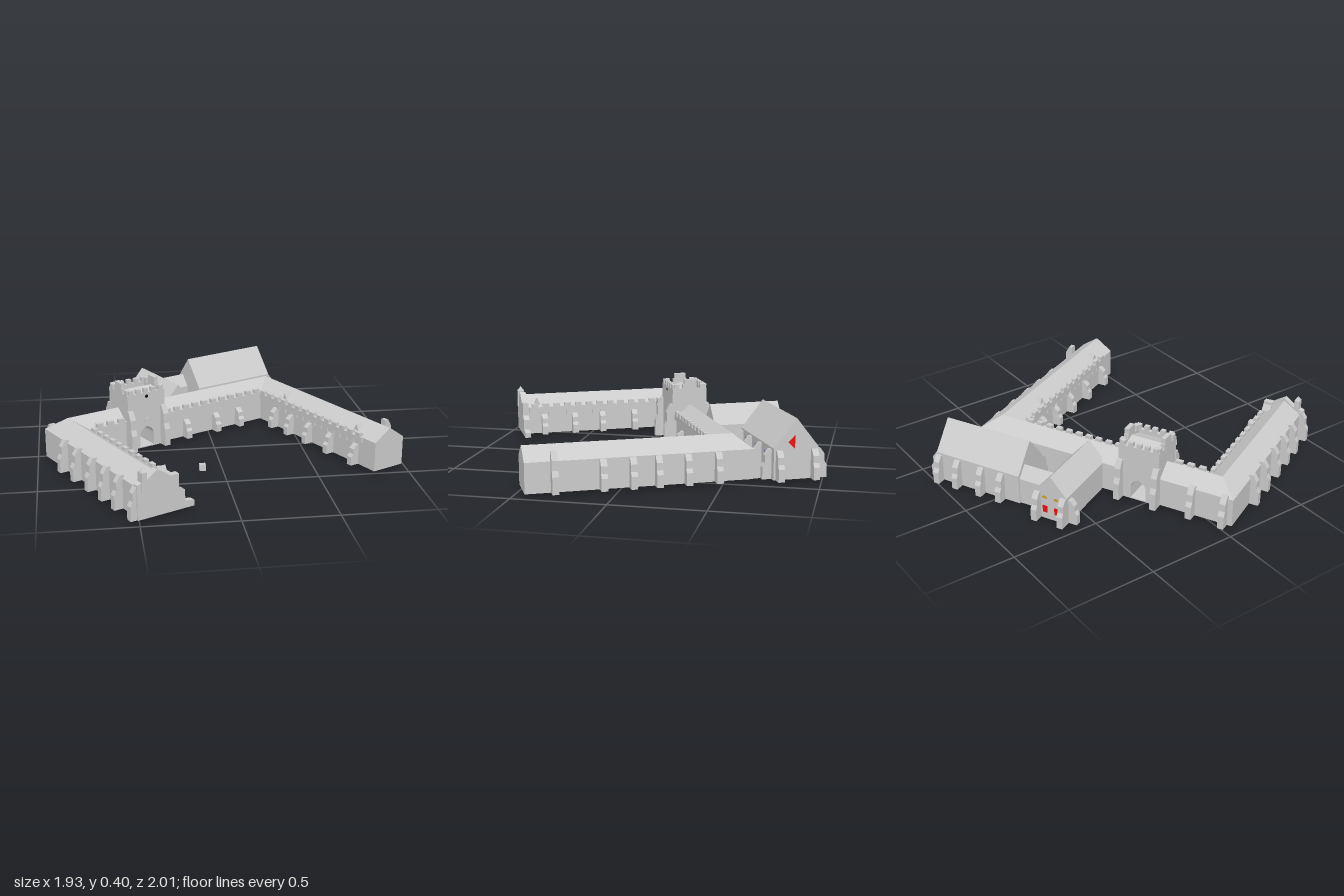
import * as THREE from 'three';

const BASE = 0.02;

export function createModel() {
  const model = new THREE.Group();
  const site = new THREE.Group(); // everything is laid out square, then turned
  site.name = 'courtyardBuildings';
  site.rotation.y = THREE.MathUtils.degToRad(26.5);
  model.add(site);

  const mat = (color) => new THREE.MeshStandardMaterial({ color, flatShading: true, side: THREE.DoubleSide });
  const stone = mat(0xcccccc), red = mat(0xee1111), gold = mat(0xc8a020), violet = mat(0x8080c8), black = mat(0x111111);

  const add = (name, geo, x = 0, y = 0, z = 0, m = stone, ry = 0) => {
    const mesh = new THREE.Mesh(geo, m);
    mesh.name = name;
    mesh.position.set(x, y, z);
    mesh.rotation.y = ry;
    site.add(mesh);
    return mesh;
  };
  // box given by its limits
  const block = (name, x0, x1, y0, y1, z0, z1, m) =>
    add(name, new THREE.BoxGeometry(x1 - x0, y1 - y0, z1 - z0), (x0 + x1) / 2, (y0 + y1) / 2, (z0 + z1) / 2, m);
  const polygon = (pts) => new THREE.Shape(pts.map((p) => new THREE.Vector2(...p)));
  const slab = (shape, depth) => new THREE.ExtrudeGeometry(shape, { depth, bevelEnabled: false, curveSegments: 8 });

  // gabled building, ridge along x or z
  const house = (name, x0, x1, z0, z1, eave, ridge, axis) => {
    const w = (axis === 'x' ? z1 - z0 : x1 - x0) / 2, len = axis === 'x' ? x1 - x0 : z1 - z0;
    const geo = slab(polygon([[-w, BASE], [w, BASE], [w, eave], [0, ridge], [-w, eave]]), len);
    geo.translate(0, 0, -len / 2);
    add(name, geo, (x0 + x1) / 2, 0, (z0 + z1) / 2, stone, axis === 'x' ? Math.PI / 2 : 0);
  };

  // stepped buttress, dir is the side it projects towards
  const turn = { '+x': 0, '-x': Math.PI, '+z': -Math.PI / 2, '-z': Math.PI / 2 };
  const buttress = (x, z, dir, top = 0.18) => {
    const h = top - BASE, w = 0.034;
    const geo = slab(polygon([[-0.01, 0], [0.05, 0], [0.05, h * 0.42], [0.036, h * 0.56],
      [0.036, h * 0.8], [0.012, h], [-0.01, h]]), w);
    geo.translate(0, 0, -w / 2);
    add('buttress', geo, x, BASE, z, stone, turn[dir]);
  };

  // range swept through mitred sections; each section maps an inset t to [x, z]
  const WIDTH = 0.2, EAVE = 0.182, RIDGE = 0.25;
  const profile = [[0, BASE], [0, EAVE], [WIDTH / 2, RIDGE], [WIDTH, EAVE], [WIDTH, BASE]];
  const sweep = (name, sections) => {
    const pos = [], idx = [], n = profile.length;
    sections.forEach((s) => profile.forEach(([t, y]) => {
      const [x, z] = s(t);
      pos.push(x, y, z);
    }));
    for (let s = 0; s < sections.length - 1; s++)
      for (let i = 0; i < n; i++) {
        const a = s * n + i, b = s * n + (i + 1) % n;
        idx.push(a, a + n, b, b, a + n, b + n);
      }
    const e = (sections.length - 1) * n;
    for (let i = 1; i < n - 1; i++) idx.push(0, i, i + 1, e, e + i + 1, e + i);
    const geo = new THREE.BufferGeometry();
    geo.setAttribute('position', new THREE.Float32BufferAttribute(pos, 3));
    geo.setIndex(idx);
    const flat = geo.toNonIndexed();
    flat.computeVertexNormals();
    add(name, flat);
  };
  const BACK = -0.385, K = 0.86, W = -0.875, E = 0.685, TX0 = -0.455, TX1 = -0.215;
  const FRONT = BACK + WIDTH * K;
  sweep('westRange', [(t) => [TX0 + 0.01, BACK + t * K], (t) => [W + t, BACK + t * K], (t) => [W + t, 0.62]]);
  sweep('eastRange', [(t) => [E - t, 0.82], (t) => [E - t, BACK + t * K], (t) => [TX1 - 0.01, BACK + t * K]]);

  // crenellated parapets along the courtyard faces
  const parapet = (axis, from, to, at, n, low = 0.192, high = 0.215) => {
    const d = 0.012, step = (to - from) / n;
    const put = (a, b, y0, y1) => axis === 'x'
      ? block('parapet', a, b, y0, y1, at - d, at + d)
      : block('parapet', at - d, at + d, y0, y1, a, b);
    put(from, to, low - 0.03, low);
    for (let i = 0; i < n; i++) put(from + (i + 0.22) * step, from + (i + 0.78) * step, low, high);
  };
  parapet('x', TX1, 0.48, FRONT, 11);
  parapet('x', -0.66, TX0, FRONT, 3);
  parapet('z', FRONT, 0.6, W + WIDTH, 12, 0.185, 0.205);
  parapet('z', FRONT, 0.72, E - WIDTH, 14, 0.185, 0.205);

  // small window frames on the inner wing walls
  for (let i = 0; i < 13; i++) {
    const z = -0.04 + i * 0.055;
    block('windowFrame', 0.476, 0.49, 0.13, 0.158, z, z + 0.028);
    if (z < 0.6) block('windowFrame', -0.68, -0.666, 0.13, 0.158, z, z + 0.028);
  }

  // buttresses of the three ranges
  [0.67, 0.42, 0.265, 0.13, -0.026, -0.19].forEach((z, i) => buttress(E, z, '+x', i ? 0.18 : 0.235));
  [-0.05, 0.1, 0.27, 0.46, 0.67].forEach((z) => buttress(E - WIDTH, z, '-x', 0.135));
  [-0.06, 0.145, 0.32, 0.51].forEach((z) => buttress(W + WIDTH, z, '+x', 0.14));
  [-0.13, 0.02, 0.18, 0.325, 0.46, 0.62].forEach((z) => buttress(W, z, '-x', 0.2));
  [-0.83, -0.645].forEach((x) => buttress(x, BACK, '-z', 0.2));
  [-0.06, 0.145, 0.31].forEach((x) => buttress(x, FRONT, '+z', 0.125));
  buttress(0.66, BACK, '-z', 0.18);

  // small roof dormers
  const dormer = (x, z, ry) => {
    const geo = slab(polygon([[-0.018, 0], [0.018, 0], [0, 0.035]]), 0.05);
    add('dormer', geo, x, 0.2, z, stone, ry);
  };
  dormer(0.555, 0.64, -Math.PI / 2);
  dormer(-0.72, 0.55, Math.PI / 2);
  dormer(0.555, 0.0, -Math.PI / 2);

  // west wing end wall with pinnacle and low return
  const endWall = slab(polygon([[-0.89, BASE], [-0.56, BASE], [-0.56, 0.05], [-0.615, 0.06], [-0.615, 0.12],
    [-0.65, 0.14], [-0.65, 0.215], [-0.7, 0.215], [-0.775, 0.265], [-0.83, 0.225], [-0.89, 0.205]]), 0.035);
  add('endWall', endWall, 0, 0, 0.61);
  block('pinnacle', -0.865, -0.835, 0.16, 0.265, 0.61, 0.65);
  add('pinnacleCap', new THREE.ConeGeometry(0.022, 0.025, 4), -0.85, 0.277, 0.63, stone, Math.PI / 4);

  // gate tower with archway
  const cx = (TX0 + TX1) / 2, TZ0 = -0.4, TZ1 = -0.19, r = 0.045;
  const gate = new THREE.Shape();
  gate.moveTo(TX0, BASE);
  gate.lineTo(cx - r, BASE);
  gate.lineTo(cx - r, 0.09);
  gate.quadraticCurveTo(cx - r, 0.13, cx, 0.145);
  gate.quadraticCurveTo(cx + r, 0.13, cx + r, 0.09);
  gate.lineTo(cx + r, BASE);
  gate.lineTo(TX1, BASE);
  gate.lineTo(TX1, 0.32);
  gate.lineTo(TX0, 0.32);
  add('gateTower', slab(gate, TZ1 - TZ0), 0, 0, TZ0);
  block('threshold', cx - r, cx + r, BASE, BASE + 0.006, TZ0, TZ1);
  const lid = slab(polygon([[TZ0, 0.31], [TZ1, 0.31], [(TZ0 + TZ1) / 2, 0.35]]), TX1 - TX0 - 0.02);
  add('towerRoof', lid, TX1 - 0.01, 0, 0, stone, -Math.PI / 2);
  for (const z of [TZ0 + 0.012, TZ1 - 0.012]) parapet('x', TX0, TX1, z, 5, 0.345, 0.37);
  for (const x of [TX0 + 0.012, TX1 - 0.012]) {
    parapet('z', TZ0, TZ1, x, 4, 0.345, 0.37);
    block('tallMerlon', x - 0.013, x + 0.013, 0.32, 0.4, -0.328, -0.262);
    for (const z of [TZ0, TZ1]) buttress(x, z, z === TZ0 ? '-z' : '+z', 0.255);
  }
  add('roundel', new THREE.CircleGeometry(0.01, 12), cx, 0.325, TZ1 + 0.003, black);
  block('gateWindow', cx - 0.016, cx + 0.016, 0.17, 0.195, TZ1 - 0.01, TZ1 + 0.008);

  // rear cross wing with coloured gable windows
  house('crossWing', -0.11, 0.08, -0.775, -0.36, 0.18, 0.287, 'z');
  [-0.093, 0.063].forEach((x) => buttress(x, -0.775, '-z', 0.18));
  buttress(-0.11, -0.74, '-x', 0.16);
  for (const x of [-0.05, 0.02]) {
    block('redWindow', x - 0.013, x + 0.013, 0.06, 0.1, -0.779, -0.77, red);
    const arch = new THREE.CircleGeometry(0.016, 6, 0, Math.PI);
    add('goldWindow', arch, x, 0.148, -0.779, gold, Math.PI);
  }

  // linking passage and great hall
  house('link', 0, 0.23, -0.715, -0.61, 0.17, 0.235, 'x');
  house('hall', 0.212, 0.74, -0.725, -0.477, 0.19, 0.347, 'x');
  [0.32, 0.447, 0.6, 0.722].forEach((x) => buttress(x, -0.725, '-z', 0.18));
  [0.23, 0.375, 0.535, 0.69].forEach((x) => buttress(x, -0.477, '+z', 0.18));
  [-0.7, -0.505].forEach((z) => buttress(0.74, z, '+x', 0.18));
  [0.29, 0.45, 0.6, 0.635].forEach((x) => block('lancet', x, x + 0.016, 0.09, 0.155, -0.48, -0.472, violet));
  const pane = new THREE.ShapeGeometry(polygon([[0, -0.037], [0, 0.037], [-0.038, 0]]));
  add('gableWindow', pane, 0.744, 0.222, -0.592, red, Math.PI / 2);

  // loose stone block in the courtyard
  const stoneBlock = new THREE.Mesh(new THREE.BoxGeometry(0.034, 0.034, 0.034), stone);
  stoneBlock.name = 'courtyardBlock';
  stoneBlock.position.set(-0.11, 0.017, 0.32);
  model.add(stoneBlock);
  return model;
}
